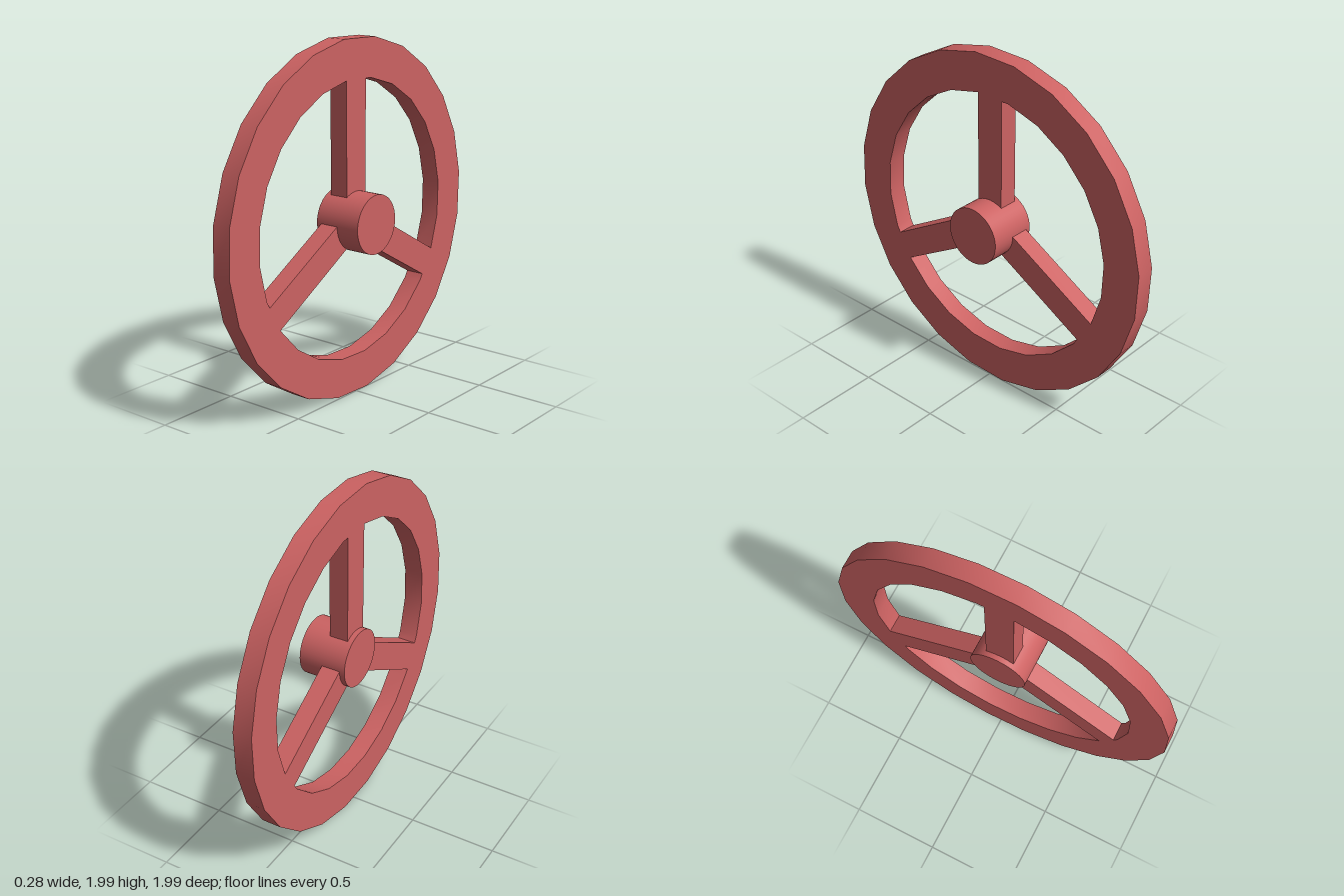
import * as THREE from 'three';
import { toCreasedNormals } from 'three/addons/utils/BufferGeometryUtils.js';

const RAD = Math.PI / 180;
const SIDES = 24, STEP = 360 / SIDES, OFFSET = 5.7; // rim facets, degrees
const OUTER = 1, INNER = 0.78, THICK = 0.11;
const SPOKE_HALF = 0.082, SPOKES = 3;
const HUB_R = 0.166, HUB_LEN = 0.28;

const polar = (r, deg) => new THREE.Vector2(r * Math.cos(deg * RAD), r * Math.sin(deg * RAD));

// Radius of the faceted inner rim at any angle
function innerRadius(deg) {
  const a = (((deg - OFFSET) % STEP) + STEP) % STEP;
  return INNER * Math.cos(STEP / 2 * RAD) / Math.cos((a - STEP / 2) * RAD);
}

// Opening between the spoke at the given angle and the next one
function opening(spokeDeg) {
  const span = 360 / SPOKES;
  const edge = Math.asin(SPOKE_HALF / innerRadius(spokeDeg + 6)) / RAD;
  const from = spokeDeg + edge, to = spokeDeg + span - edge;
  const pts = [polar(SPOKE_HALF / Math.sin(span / 2 * RAD), spokeDeg + span / 2)]; // corner inside the hub
  pts.push(polar(innerRadius(from), from));
  for (let a = OFFSET; a < to; a += STEP) if (a > from) pts.push(polar(INNER, a));
  pts.push(polar(innerRadius(to), to));
  return new THREE.Path(pts);
}

export function createModel() {
  const group = new THREE.Group();
  const material = new THREE.MeshStandardMaterial({ color: 0xcc6262 });

  // Rim and spokes: one flat plate with three openings
  const shape = new THREE.Shape(Array.from({ length: SIDES }, (_, i) => polar(OUTER, OFFSET + i * STEP)));
  for (let i = 0; i < SPOKES; i++) shape.holes.push(opening(90 + i * 360 / SPOKES));
  let plate = new THREE.ExtrudeGeometry(shape, { depth: THICK, bevelEnabled: false });
  plate.rotateY(Math.PI / 2).translate(-THICK, 1, 0);
  plate = toCreasedNormals(plate, 30 * RAD);
  const wheel = new THREE.Mesh(plate, material);
  wheel.name = 'rimAndSpokes';

  // Hub along the x axis
  const hub = new THREE.Mesh(new THREE.CylinderGeometry(HUB_R, HUB_R, HUB_LEN, 40).rotateZ(Math.PI / 2), material);
  hub.name = 'hub';
  hub.position.y = 1;

  group.add(wheel, hub);
  return group;
}
